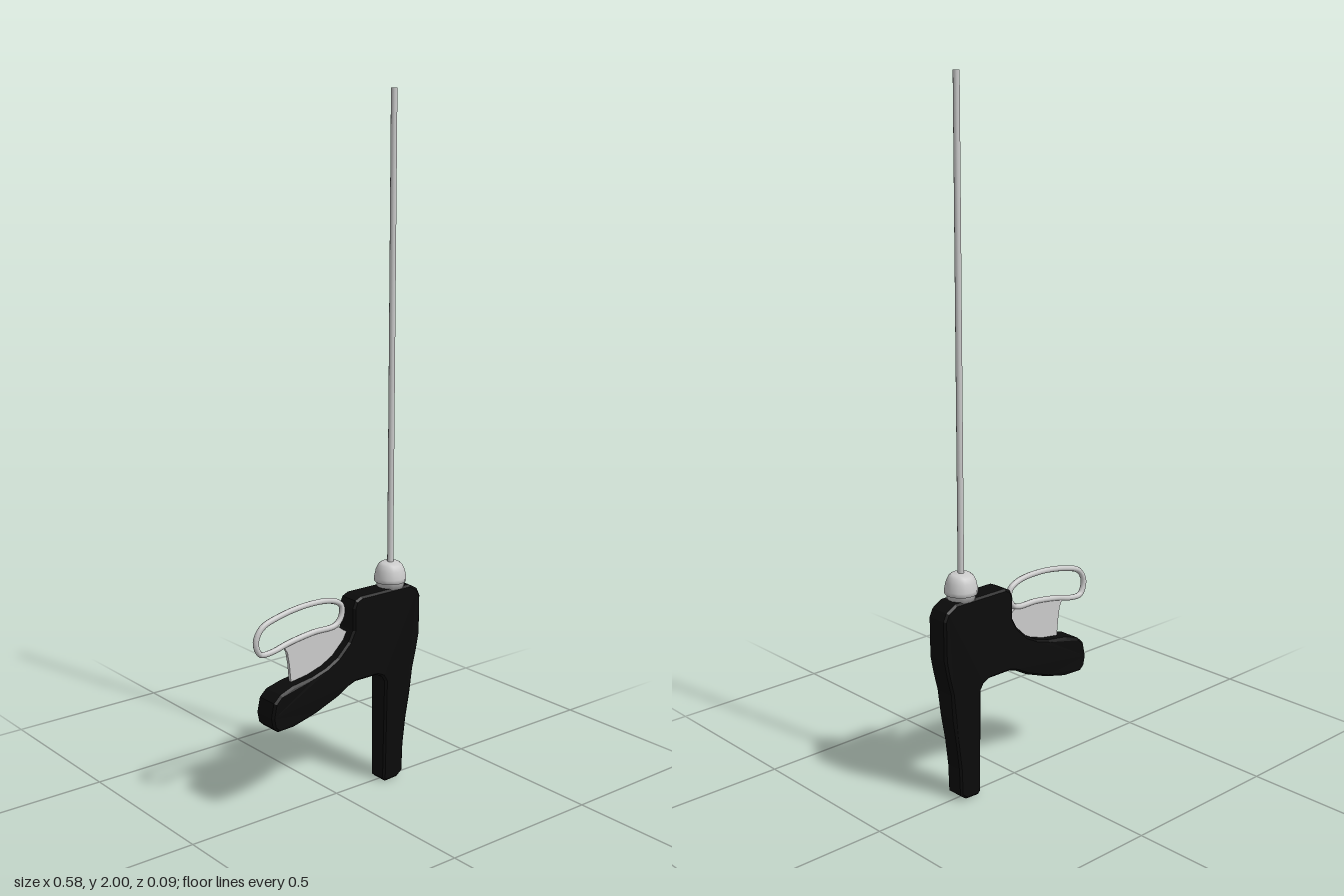
import * as THREE from 'three';

const grey = new THREE.MeshStandardMaterial({ color: 0xcccccc, side: THREE.DoubleSide });
const black = new THREE.MeshStandardMaterial({ color: 0x0b0b0b });
const ROD_X = 0.2;

function addMesh(group, name, geometry, material) {
  const mesh = new THREE.Mesh(geometry, material);
  mesh.name = name;
  group.add(mesh);
  return mesh;
}

// Plate cut from an outline, centred on z = 0, with a chamfer kept inside the outline
function plate(points, halfDepth, bevel) {
  const shape = new THREE.Shape(points.map(([x, y]) => new THREE.Vector2(x, y)));
  const geometry = new THREE.ExtrudeGeometry(shape, {
    depth: 2 * (halfDepth - bevel), bevelEnabled: bevel > 0, bevelSize: bevel,
    bevelThickness: bevel, bevelOffset: -bevel, bevelSegments: 1,
  });
  return geometry.translate(0, 0, -(halfDepth - bevel));
}

export function createModel() {
  const model = new THREE.Group();
  model.name = 'triggerClamp';

  // Body: upright block, rear leg and slanted grip in one outline
  const body = plate([
    [0.156, 0.01], [0.165, 0.001], [0.21, 0.003], [0.23, 0.018], [0.233, 0.1],
    [0.243, 0.18], [0.256, 0.256], [0.264, 0.335], [0.278, 0.39], [0.288, 0.44],
    [0.289, 0.555], [0.278, 0.578], [0.247, 0.596], [0.065, 0.596], [0.045, 0.587],
    [0.036, 0.565], [0.036, 0.5], [0.02, 0.47], [-0.02, 0.432], [-0.06, 0.411],
    [-0.11, 0.396], [-0.18, 0.386], [-0.225, 0.372], [-0.247, 0.352], [-0.256, 0.31],
    [-0.25, 0.28], [-0.235, 0.266], [-0.177, 0.266], [-0.1, 0.285], [-0.02, 0.315],
    [0.02, 0.337], [0.045, 0.346], [0.124, 0.346], [0.146, 0.336], [0.157, 0.318],
  ], 0.035, 0.006);
  // Flare the grip end and thin the leg
  const pos = body.attributes.position;
  for (let i = 0; i < pos.count; i++) {
    const x = pos.getX(i), y = pos.getY(i);
    const flare = 1 + 0.13 * THREE.MathUtils.smoothstep(-x, 0.17, 0.235);
    const thin = x > 0.1 ? 1 - 0.17 * (1 - THREE.MathUtils.smoothstep(y, 0.2, 0.34)) : 1;
    pos.setZ(i, pos.getZ(i) * flare * thin);
  }
  body.computeVertexNormals();
  addMesh(model, 'body', body, black);

  // Trigger: web plate under a wire finger loop
  addMesh(model, 'triggerWeb', plate([
    [-0.165, 0.37], [0, 0.42], [0.045, 0.46], [0.045, 0.485], [0.02, 0.5], [0, 0.515],
    [-0.085, 0.515], [-0.19, 0.497], [-0.178, 0.475], [-0.172, 0.44],
  ], 0.005, 0), grey);

  const loop = new THREE.CatmullRomCurve3([
    [-0.282, 0.527], [-0.262, 0.564], [-0.2, 0.586], [-0.1, 0.599], [-0.015, 0.592],
    [0.017, 0.573], [0.018, 0.542], [-0.003, 0.518], [-0.085, 0.514], [-0.17, 0.502],
    [-0.23, 0.488], [-0.268, 0.49],
  ].map(([x, y]) => new THREE.Vector3(x, y, 0)), true);
  addMesh(model, 'fingerLoop', new THREE.TubeGeometry(loop, 64, 0.0085, 8, true), grey);

  // Rounded collar where the rod enters the body
  const collar = new THREE.LatheGeometry([
    [0, 0.592], [0.04, 0.592], [0.04, 0.608], [0.046, 0.61], [0.047, 0.622],
    [0.042, 0.645], [0.035, 0.66], [0.026, 0.667], [0, 0.669],
  ].map(([r, y]) => new THREE.Vector2(r, y)), 14);
  addMesh(model, 'collar', collar, grey).position.x = ROD_X;

  // Long rod
  const rod = new THREE.CylinderGeometry(0.009, 0.009, 1.36, 10);
  addMesh(model, 'rod', rod, grey).position.set(ROD_X, 1.32, 0);

  return model;
}
